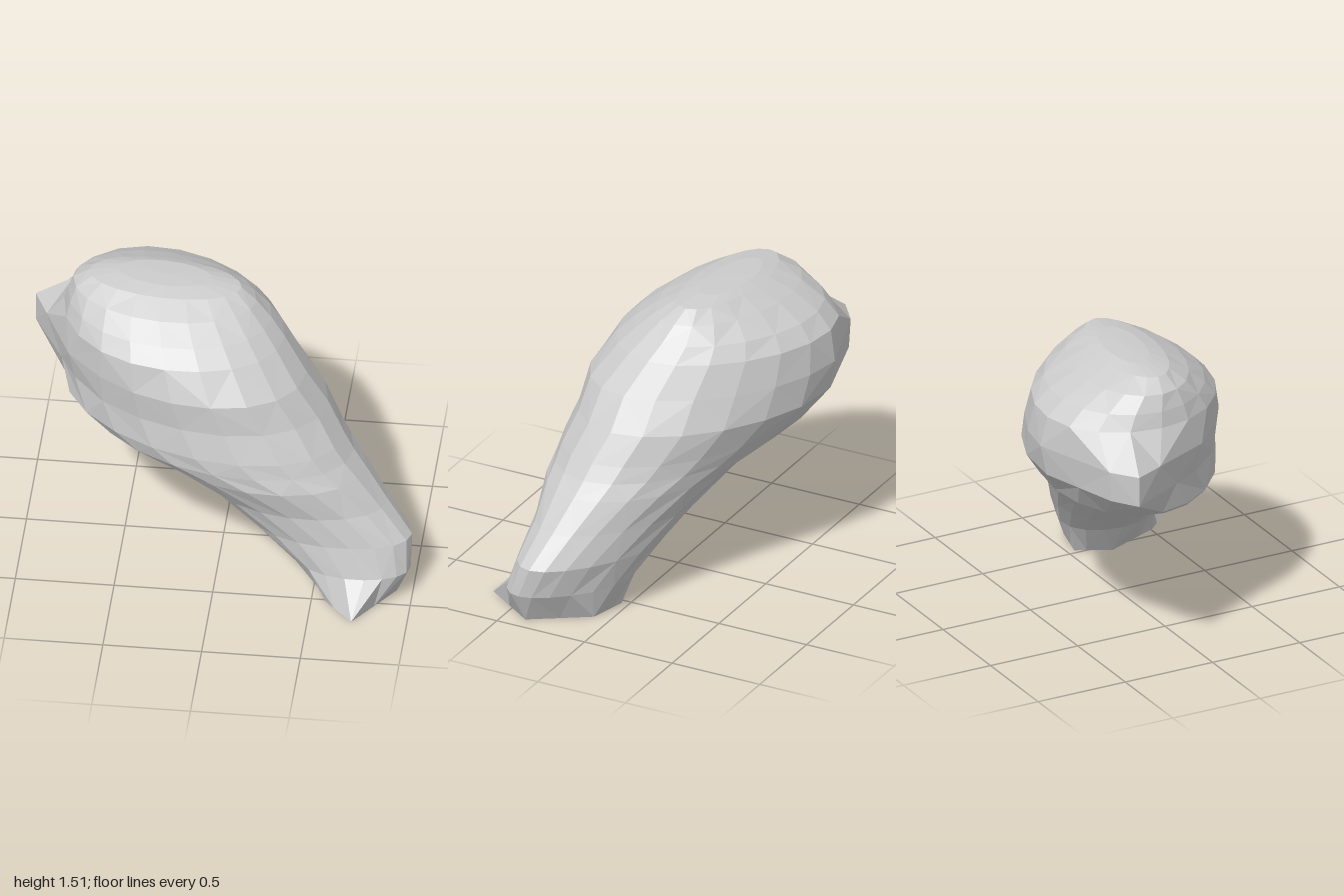
import * as THREE from 'three';

const SIDES = 20;

// Horizontal sections: height, x range, z range, skew of the back-left half, skew of the front-right half
const SECTIONS = [
  [0.00, 0.44, 0.92, 0.04, 0.50, 0.30, 0.30],
  [0.16, 0.35, 0.99, -0.02, 0.53, 0.54, 0.05],
  [0.32, 0.13, 0.99, -0.11, 0.49, 0.50, 0.08],
  [0.48, -0.09, 0.86, -0.21, 0.48, 0.40, 0.12],
  [0.64, -0.40, 0.74, -0.33, 0.51, 0.28, 0.20],
  [0.72, -0.68, 0.68, -0.44, 0.50, 0.32, 0.28],
  [0.80, -0.82, 0.63, -0.53, 0.49, 0.35, 0.32],
  [0.95, -0.88, 0.54, -0.65, 0.45, 0.37, 0.30],
  [1.11, -0.87, 0.43, -0.67, 0.44, 0.37, 0.25],
  [1.27, -0.83, 0.31, -0.64, 0.36, 0.33, 0.08],
  [1.35, -0.81, 0.24, -0.56, 0.28, 0.28, 0.08],
  [1.43, -0.78, 0.16, -0.42, 0.17, 0.22, 0.12],
  [1.49, -0.70, 0.08, -0.29, 0.05, 0.20, 0.16],
  [1.51, -0.55, -0.07, -0.24, -0.03, 0.20, 0.20],
];

// Foot outline and pointed spur, as [side number, x, z] corners
const FOOT = [[0, 0.92, 0.38], [4, 0.72, 0.67], [7, 0.57, 0.51], [10, 0.44, 0.21],
  [13, 0.53, 0.04], [16, 0.73, 0.09], [20, 0.92, 0.38]];
const SPUR_LOW = [[8, -0.75, 0.04], [11, -1, -0.42], [12, -0.87, -0.51], [14, -0.43, -0.64]];
const SPUR_HIGH = [[8, -0.78, 0.06], [11, -1, -0.42], [12, -0.87, -0.52], [14, -0.42, -0.67]];

// Skewed oval that fills its x and z ranges; the skew blends around the loop
function makeRing([y, x0, x1, z0, z1, backSkew, frontSkew]) {
  return Array.from({ length: SIDES }, (_, j) => {
    const t = (j / SIDES) * Math.PI * 2;
    const blend = 0.5 + 0.5 * Math.cos(t - Math.PI * 0.75);
    const phase = Math.asin(THREE.MathUtils.lerp(backSkew, frontSkew, blend));
    return new THREE.Vector3(
      (x0 + x1) / 2 + ((x1 - x0) / 2) * Math.cos(t), y,
      (z0 + z1) / 2 + ((z1 - z0) / 2) * Math.sin(t + phase));
  });
}

// Lay part of a ring along straight edges between corners
function straighten(ring, corners) {
  for (let k = 0; k + 1 < corners.length; k++) {
    const [j0, x0, z0] = corners[k];
    const [j1, x1, z1] = corners[k + 1];
    for (let j = j0; j <= j1; j++) {
      const f = (j - j0) / (j1 - j0);
      const p = ring[j % SIDES];
      p.x = THREE.MathUtils.lerp(x0, x1, f);
      p.z = THREE.MathUtils.lerp(z0, z1, f);
    }
  }
}

function buildSurface() {
  const rings = SECTIONS.map(makeRing);
  straighten(rings[0], FOOT);
  straighten(rings[7], SPUR_LOW);
  straighten(rings[8], SPUR_HIGH);

  const points = rings.flat();
  const index = [];
  const last = rings.length - 1;
  const at = (i, j) => i * SIDES + (j % SIDES);
  // Walls, with alternating diagonals for an irregular faceted skin
  for (let i = 0; i < last; i++) {
    for (let j = 0; j < SIDES; j++) {
      const a = at(i, j), b = at(i, j + 1), c = at(i + 1, j), d = at(i + 1, j + 1);
      if ((i + j) % 2) index.push(b, a, c, b, c, d);
      else index.push(b, a, d, a, c, d);
    }
  }
  // Flat base and gently domed crown
  const base = points.push(new THREE.Vector3(0.68, 0, 0.3)) - 1;
  const crown = points.push(new THREE.Vector3(-0.32, 1.515, -0.13)) - 1;
  for (let j = 0; j < SIDES; j++) {
    index.push(base, at(0, j), at(0, j + 1));
    index.push(crown, at(last, j + 1), at(last, j));
  }
  const indexed = new THREE.BufferGeometry().setFromPoints(points);
  indexed.setIndex(index);
  const geometry = indexed.toNonIndexed();
  geometry.computeVertexNormals();
  return geometry;
}

export function createModel() {
  const group = new THREE.Group();
  group.name = 'leaningForm';
  const material = new THREE.MeshStandardMaterial({ color: 0xcccccc, flatShading: true });
  const body = new THREE.Mesh(buildSurface(), material);
  body.name = 'body';
  group.add(body);
  return group;
}
